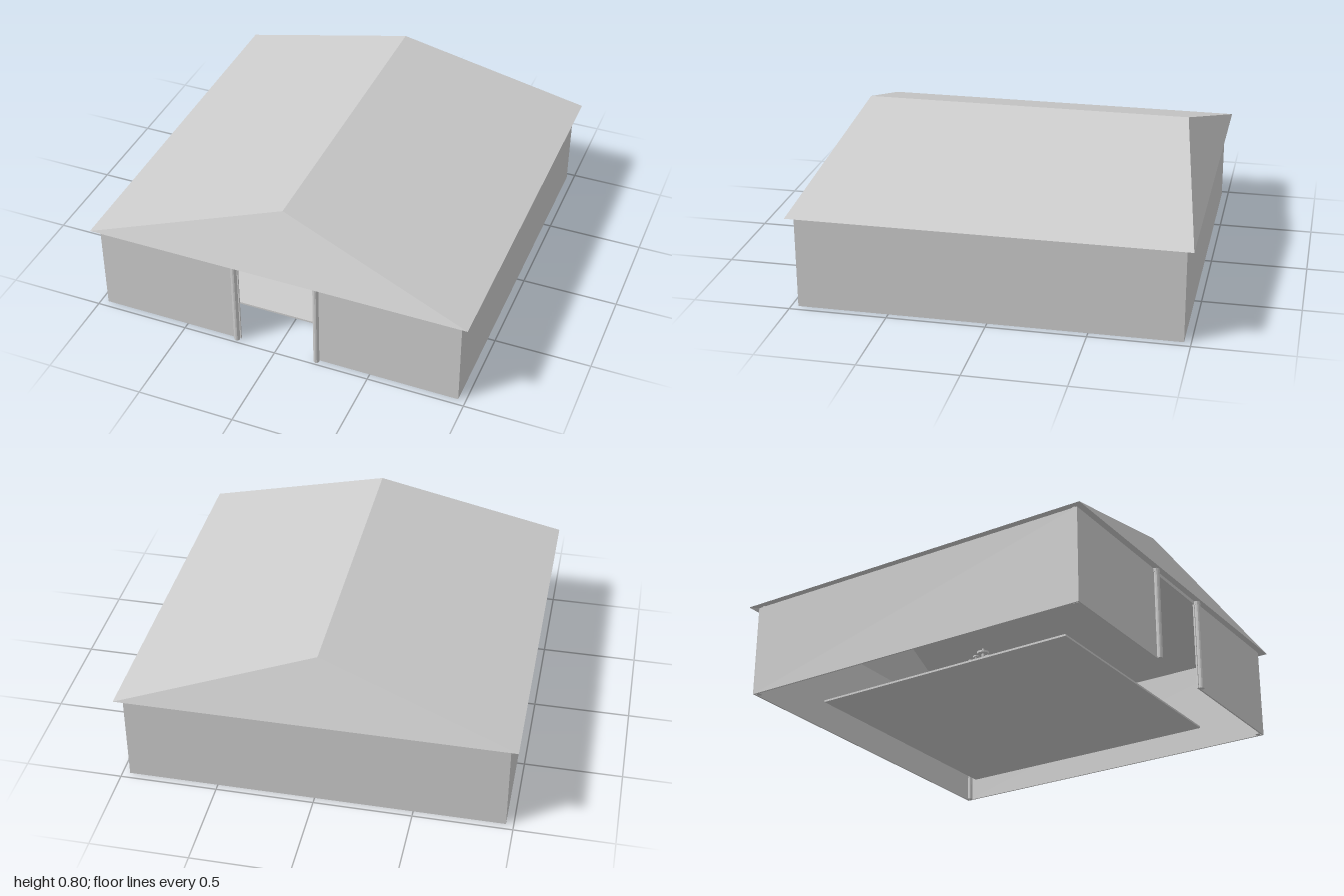
import * as THREE from 'three';

const grey = new THREE.MeshStandardMaterial({ color: 0xcccccc, side: THREE.DoubleSide, flatShading: true });
grey.name = 'plain grey';

function add(parent, name, geometry, x = 0, y = 0, z = 0) {
  const mesh = new THREE.Mesh(geometry, grey);
  mesh.name = name;
  mesh.position.set(x, y, z);
  parent.add(mesh);
  return mesh;
}

// box placed by its centre in x and z, and by its bottom and top
const box = (parent, name, w, y0, y1, d, x, z) =>
  add(parent, name, new THREE.BoxGeometry(w, y1 - y0, d), x, (y0 + y1) / 2, z);

// upright cylinder, placed the same way
const post = (parent, name, r, y0, y1, x, z, sides = 12) =>
  add(parent, name, new THREE.CylinderGeometry(r, r, y1 - y0, sides), x, (y0 + y1) / 2, z);

// open hipped roof shell with a ridge along z
function roofGeometry(eave, top, ridgeEnd) {
  const a = [-1, eave, 1], b = [1, eave, 1], c = [1, eave, -1], d = [-1, eave, -1];
  const f = [0, top, ridgeEnd], k = [0, top, -ridgeEnd];
  const faces = [a, b, f, c, d, k, b, c, k, b, k, f, d, a, f, d, f, k];
  const geometry = new THREE.BufferGeometry();
  geometry.setAttribute('position', new THREE.Float32BufferAttribute(faces.flat(), 3));
  geometry.computeVertexNormals();
  return geometry;
}

// pedestal table with a ring of round stools
function tableSet(x, z) {
  const set = new THREE.Group();
  set.name = 'tableSet';
  set.position.set(x, 0, z);
  post(set, 'tableTop', 0.03, 0.07, 0.08, 0, 0, 16);
  post(set, 'tableStem', 0.007, 0.01, 0.07, 0, 0, 8);
  post(set, 'tableFoot', 0.016, 0.01, 0.02, 0, 0, 12);
  post(set, 'centrepiece', 0.006, 0.08, 0.098, 0, 0, 8);
  for (let i = 0; i < 6; i++) {
    const angle = (i / 6) * Math.PI * 2;
    const sx = 0.058 * Math.cos(angle), sz = 0.058 * Math.sin(angle);
    post(set, 'stoolSeat', 0.015, 0.03, 0.037, sx, sz);
    post(set, 'stoolLeg', 0.005, 0, 0.03, sx, sz, 6);
    post(set, 'stoolFoot', 0.011, 0.01, 0.02, sx, sz, 8);
  }
  return set;
}

export function createModel() {
  const model = new THREE.Group();
  model.name = 'hall';
  const wallX = 0.962, wallZ = 0.965, wallTop = 0.487, thick = 0.008, doorHalf = 0.2;

  // roof
  add(model, 'roof', roofGeometry(0.485, 0.797, 0.85));

  // walls, with a wide doorway at the front
  box(model, 'backWall', wallX * 2, 0, wallTop, thick, 0, -wallZ + thick / 2);
  for (const s of [-1, 1]) {
    box(model, 'sideWall', thick, 0, wallTop, wallZ * 2, s * (wallX - thick / 2), 0);
    const w = wallX - doorHalf;
    box(model, 'frontWall', w, 0, wallTop, thick, s * (doorHalf + w / 2), wallZ - thick / 2);

    // door posts with small capitals
    post(model, 'doorPost', 0.015, 0, 0.485, s * 0.218, 0.974);
    post(model, 'doorPostCapital', 0.018, 0.465, 0.485, s * 0.218, 0.972);

    // inner corner posts
    for (const t of [-1, 1]) post(model, 'cornerPost', 0.013, 0, 0.497, s * 0.941, t * 0.941);
  }
  box(model, 'lintel', doorHalf * 2, 0.468, wallTop, thick, 0, wallZ - thick / 2);

  // floor
  box(model, 'floor', 1.37, 0, 0.01, 1.45, 0, 0);

  // furniture
  const places = [[0, -0.51], [0.53, -0.29], [-0.41, -0.35], [0.53, 0.47], [-0.6, 0.2], [-0.37, 0.32]];
  for (const [x, z] of places) model.add(tableSet(x, z));
  box(model, 'counter', 0.06, 0.01, 0.07, 0.1, -0.5, 0.46);

  return model;
}
